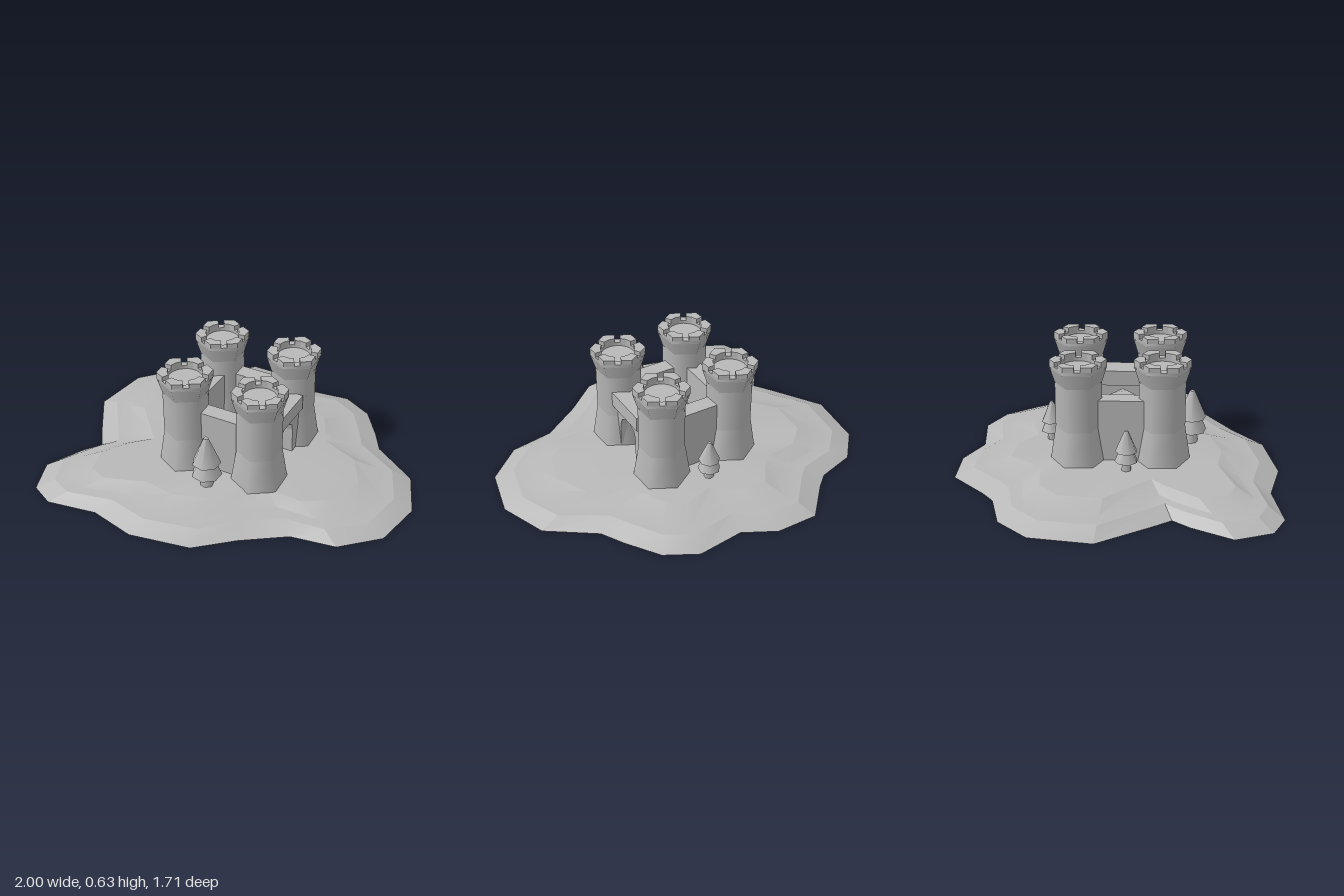
import * as THREE from 'three';
import { toCreasedNormals } from 'three/addons/utils/BufferGeometryUtils.js';

const stone = new THREE.MeshStandardMaterial({ color: 0xb8b8b8 });
stone.name = 'pale grey';

const GROUND = 0.075;

function part(geometry, name, parent, x = 0, y = 0, z = 0) {
  const mesh = new THREE.Mesh(geometry, stone);
  mesh.name = name;
  mesh.position.set(x, y, z);
  parent.add(mesh);
  return mesh;
}

// Flat outline in plan, raised upward by a height
function raise(shape, height) {
  return new THREE.ExtrudeGeometry(shape, { depth: height, bevelEnabled: false, curveSegments: 12 })
    .rotateX(-Math.PI / 2);
}

// Terraced island: the shoreline repeated in shrinking, rising rings
function island() {
  const shore = [
    [1, 0], [0.9, -0.25], [0.65, -0.42], [0.58, -0.54], [0.46, -0.71], [0.29, -0.8], [0.035, -0.77],
    [-0.14, -0.86], [-0.37, -0.86], [-0.54, -0.68], [-0.61, -0.62], [-0.82, -0.56], [-0.96, -0.4],
    [-1, -0.08], [-0.83, 0.19], [-0.765, 0.285], [-0.83, 0.375], [-0.93, 0.58], [-0.86, 0.77],
    [-0.73, 0.835], [-0.46, 0.79], [-0.21, 0.85], [0.115, 0.79], [0.3, 0.63], [0.52, 0.48],
    [0.76, 0.44], [0.945, 0.27],
  ];
  const rings = [[0, 0], [0.105, 0.04], [0.19, 0.045], [0.31, GROUND]]; // inset, height
  const n = shore.length, positions = [], index = [];
  for (const [inset, y] of rings) {
    for (const [x, z] of shore) {
      const k = 1 - inset / Math.hypot(x, z);
      positions.push(x * k, y, z * k);
    }
  }
  const topCentre = rings.length * n, bottomCentre = topCentre + 1;
  positions.push(0, GROUND, 0, 0, 0, 0);
  const last = (rings.length - 1) * n;
  for (let i = 0; i < n; i++) {
    const j = (i + 1) % n;
    for (let r = 0; r < last; r += n) {
      index.push(r + i, r + j, r + n + j, r + i, r + n + j, r + n + i);
    }
    index.push(last + i, last + j, topCentre, j, i, bottomCentre);
  }
  const geometry = new THREE.BufferGeometry();
  geometry.setAttribute('position', new THREE.Float32BufferAttribute(positions, 3));
  geometry.setIndex(index);
  return toCreasedNormals(geometry, 0.25);
}

// Six-sided tower with flared foot, flared head and corner merlons
function tower(x, z) {
  const group = new THREE.Group();
  group.name = 'tower';
  group.position.set(x, 0, z);
  group.rotation.y = 0.05;
  const R = 0.148;
  const profile = [[0.152, 0.07], [0.122, 0.26], [0.122, 0.505], [R, 0.59], [R, 0.605]];
  for (let i = 0; i < profile.length - 1; i++) {
    const [r0, y0] = profile[i], [r1, y1] = profile[i + 1];
    part(new THREE.CylinderGeometry(r1, r0, y1 - y0, 6, 1, true), 'towerWall', group, 0, (y0 + y1) / 2, 0);
  }

  // Parapet walk around a sunken round floor
  const hexagon = new THREE.Shape();
  for (let i = 0; i < 6; i++) {
    const a = Math.PI / 2 + i * Math.PI / 3;
    hexagon[i ? 'lineTo' : 'moveTo'](R * 0.995 * Math.cos(a), R * 0.995 * Math.sin(a));
  }
  const well = new THREE.Path();
  well.absarc(0, 0, 0.092, 0, Math.PI * 2, true);
  hexagon.holes.push(well);
  part(raise(hexagon, 0.02), 'parapet', group, 0, 0.585, 0);
  part(new THREE.CircleGeometry(0.1, 12).rotateX(-Math.PI / 2), 'towerFloor', group, 0, 0.586, 0);

  // One merlon wraps each corner, leaving a gap mid-side
  const edge = 0.4, ro = R * Math.cos(Math.PI / 6) / Math.cos(Math.PI / 6 - edge);
  const merlon = new THREE.Shape([
    [0.092, -0.36], [ro, -edge], [R, 0], [ro, edge], [0.092, 0.36], [0.092, 0],
  ].map(([r, a]) => new THREE.Vector2(r * Math.cos(a), r * Math.sin(a))));
  const merlonGeometry = raise(merlon, 0.027);
  for (let i = 0; i < 6; i++) {
    part(merlonGeometry, 'merlon', group, 0, 0.604, 0).rotation.y = Math.PI / 2 + i * Math.PI / 3;
  }
  return group;
}

// Conifer with a trunk and two stacked tiers, base at y = 0
function tree(x, z, scale, turn) {
  const group = new THREE.Group();
  group.name = 'tree';
  group.position.set(x, GROUND, z);
  group.scale.setScalar(scale);
  group.rotation.y = turn;
  part(new THREE.CylinderGeometry(0.03, 0.037, 0.09, 6), 'trunk', group, 0, 0.04, 0);
  part(new THREE.CylinderGeometry(0.045, 0.082, 0.09, 7), 'lowerFoliage', group, 0, 0.115, 0);
  part(new THREE.CylinderGeometry(0.013, 0.078, 0.155, 7), 'upperFoliage', group, 0, 0.2225, 0);
  return group;
}

// Wall pierced by a pointed arch, with an overhanging lintel block
function gatehouse() {
  const group = new THREE.Group();
  group.name = 'gatehouse';
  const wall = new THREE.Shape([
    [-0.15, 0.07], [-0.085, 0.07], [-0.085, 0.22], [-0.068, 0.265], [0, 0.3], [0.068, 0.265],
    [0.08, 0.22], [0.08, 0.07], [0.15, 0.07], [0.15, 0.34], [-0.15, 0.34],
  ].map(([z, y]) => new THREE.Vector2(z, y)));
  const geometry = new THREE.ExtrudeGeometry(wall, { depth: 0.09, bevelEnabled: false })
    .rotateY(Math.PI / 2);
  part(geometry, 'gateWall', group, 0.17, 0, 0);
  part(new THREE.BoxGeometry(0.14, 0.085, 0.28), 'gateLintel', group, 0.215, 0.3725, -0.005);
  return group;
}

export function createModel() {
  const model = new THREE.Group();
  model.name = 'islandCastle';
  part(island(), 'island', model);

  for (const [x, z] of [[-0.243, -0.21], [0.185, -0.232], [-0.225, 0.225], [0.203, 0.205]]) {
    model.add(tower(x, z));
  }

  // Curtain walls on three sides
  const height = 0.345, y = 0.07 + height / 2;
  part(new THREE.BoxGeometry(0.36, height, 0.09), 'frontWall', model, -0.01, y, 0.21);
  part(new THREE.BoxGeometry(0.36, height, 0.09), 'backWall', model, -0.03, y, -0.21);
  part(new THREE.BoxGeometry(0.09, height, 0.36), 'sideWall', model, -0.23, y, 0);
  model.add(gatehouse());

  model.add(tree(-0.015, 0.385, 1, 0.2));
  model.add(tree(-0.38, 0.045, 0.74, 0.5));
  model.add(tree(-0.018, -0.38, 0.74, 0.9));
  return model;
}
